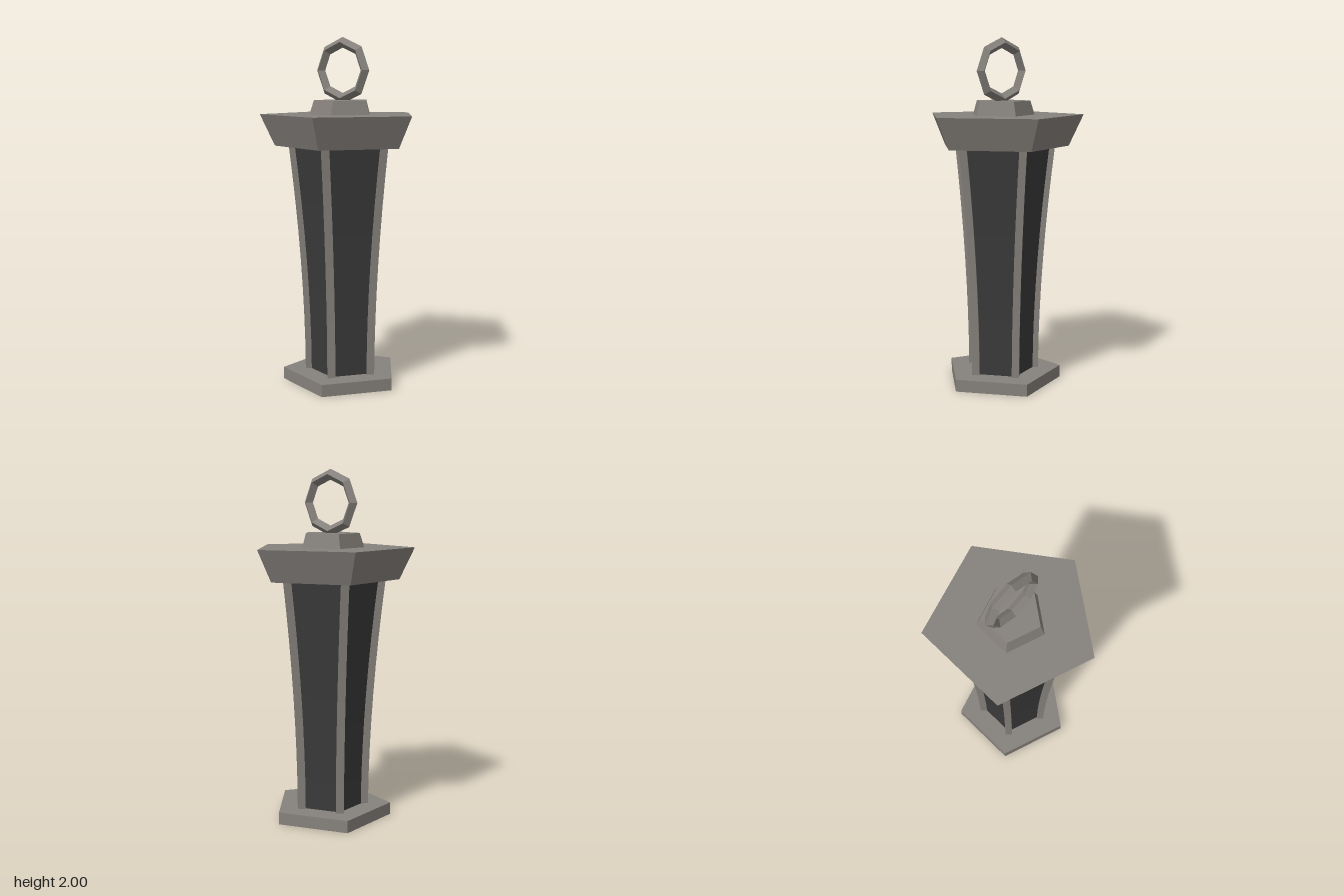
import * as THREE from 'three';

const frameMat = new THREE.MeshStandardMaterial({ color: 0x86817c, flatShading: true });
const glassMat = new THREE.MeshStandardMaterial({ color: 0x3a3a3a, flatShading: true });

const CX = -0.046; // axis of the pentagon, whose point faces +x
const Y0 = 0.07, Y1 = 1.385; // bottom and top of the shaft

// Distance of the shaft corners from the axis at a height
function flare(y) {
  const t = THREE.MathUtils.clamp((y - Y0) / (Y1 - Y0), 0, 1);
  return 0.198 + 0.09 * Math.pow(t, 1.8);
}

function add(group, name, geometry, material) {
  const mesh = new THREE.Mesh(geometry, material);
  mesh.name = name;
  group.add(mesh);
  return mesh;
}

// Five-sided slab or frustum between two heights
function pentagon(rBottom, rTop, y0, y1, rows = 1) {
  return new THREE.CylinderGeometry(rTop, rBottom, y1 - y0, 5, rows, false, Math.PI / 2)
    .translate(0, (y0 + y1) / 2, 0);
}

// Move every vertex of a geometry by a rule
function reshape(geometry, rule) {
  const p = geometry.attributes.position;
  const v = new THREE.Vector3();
  for (let i = 0; i < p.count; i++) {
    rule(v.fromBufferAttribute(p, i));
    p.setXYZ(i, v.x, v.y, v.z);
  }
  geometry.computeVertexNormals();
  return geometry;
}

export function createModel() {
  const lantern = new THREE.Group();
  lantern.name = 'lantern';

  add(lantern, 'base', pentagon(0.351, 0.351, 0, Y0), frameMat);
  add(lantern, 'roof', pentagon(0.39, 0.475, Y1, 1.565), frameMat);
  add(lantern, 'roofCap', pentagon(0.19, 0.165, 1.565, 1.645), frameMat);

  // Dark panels, flaring towards the top
  const panels = reshape(pentagon(1, 1, Y0, Y1, 8), (v) => {
    const r = flare(v.y);
    v.x *= r;
    v.z *= r;
  });
  add(lantern, 'panels', panels, glassMat);

  // Square bars bent along the five corners
  for (let i = 0; i < 5; i++) {
    const a = (i * Math.PI * 2) / 5;
    const bar = new THREE.CylinderGeometry(0.03, 0.03, Y1 - Y0, 4, 8).translate(0, (Y0 + Y1) / 2, 0);
    reshape(bar, (v) => {
      const r = flare(v.y);
      v.x += r * Math.cos(a);
      v.z += r * Math.sin(a);
    });
    add(lantern, 'cornerBar' + (i + 1), bar, frameMat);
  }

  // Eight-sided carrying ring
  const ring = add(lantern, 'ring', new THREE.TorusGeometry(0.157, 0.03, 4, 8), frameMat);
  ring.position.y = 1.813;

  lantern.position.x = CX;
  const model = new THREE.Group();
  model.add(lantern);
  return model;
}
